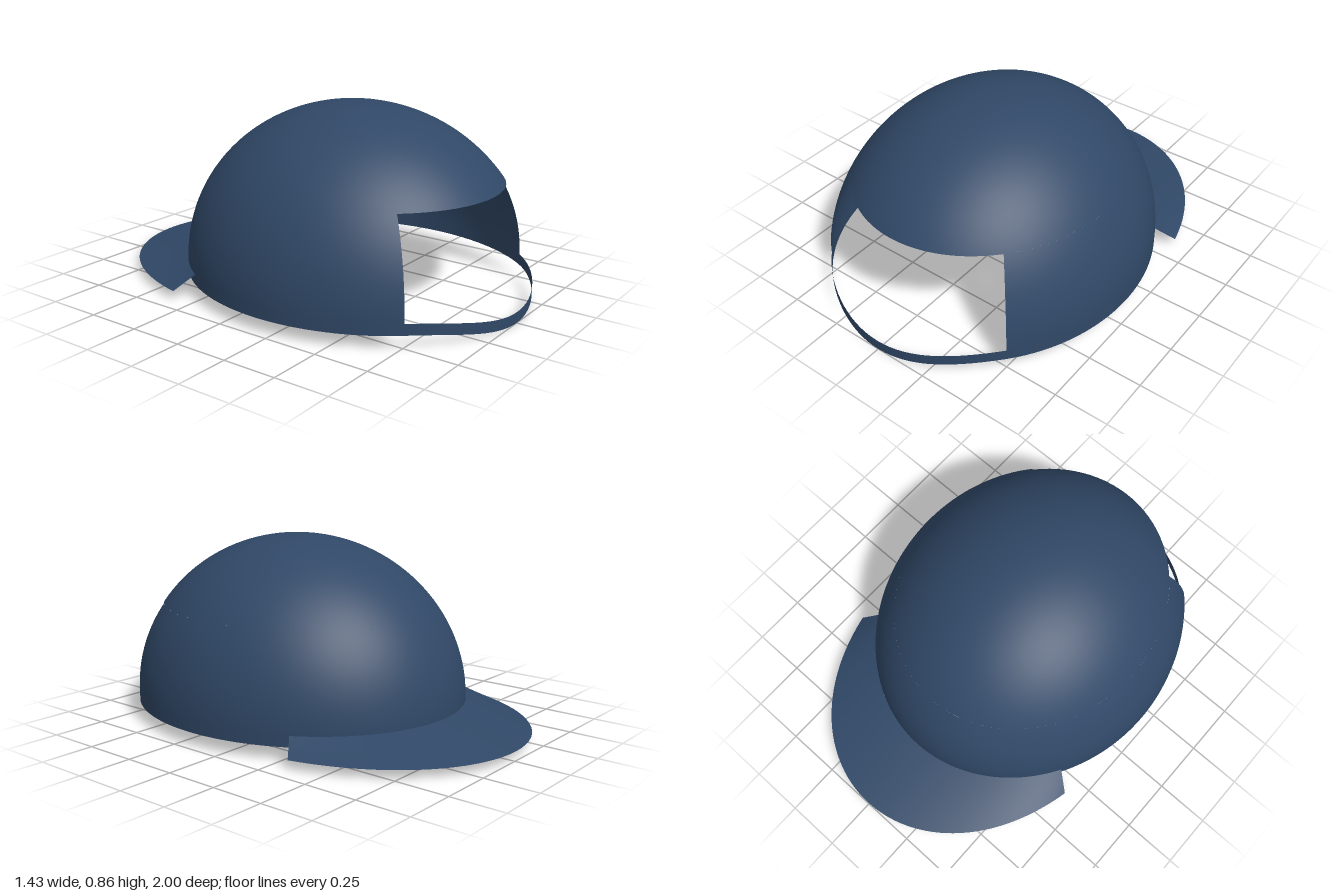
import * as THREE from 'three';

// Crown ellipsoid: half-width, height, half-length, centre z, and height of its rim
const RX = 0.717, RY = 0.745, RZ = 0.822, CZ = 0.178, RIM = 0.11;
const rad = THREE.MathUtils.degToRad;

function moveVertices(geometry, rule) {
  const p = geometry.attributes.position;
  const v = new THREE.Vector3();
  for (let i = 0; i < p.count; i++) {
    rule(v.fromBufferAttribute(p, i));
    p.setXYZ(i, v.x, v.y, v.z);
  }
  return geometry;
}

export function createModel() {
  const group = new THREE.Group();
  const navy = new THREE.MeshStandardMaterial({ color: 0x304867, side: THREE.DoubleSide });
  navy.name = 'navy cloth';

  function add(name, geometry) {
    const mesh = new THREE.Mesh(geometry, navy);
    mesh.name = name;
    group.add(mesh);
  }

  function crownPart(phiStart, phiLength, thetaStart, thetaLength) {
    return new THREE.SphereGeometry(1, 96, 24, rad(phiStart), rad(phiLength), rad(thetaStart), rad(thetaLength))
      .scale(RX, RY, RZ).translate(0, RIM, CZ);
  }

  // Crown: full cap above, three-quarter wall below that leaves the front opening
  add('crownTop', crownPart(0, 360, 0, 56.25));
  add('crownWall', crownPart(135, 270, 56.25, 33.75));

  // Band around the rim; it dips across the opening to form the strap
  const band = new THREE.CylinderGeometry(1, 1, 0.05, 128, 1, true)
    .scale(RX, 1, RZ).translate(0, RIM - 0.025, CZ);
  moveVertices(band, (v) => {
    const a = Math.atan2(v.x / RX, (v.z - CZ) / RZ);
    if (Math.abs(a) < Math.PI / 4) v.y -= 0.06 * Math.cos(2 * a) ** 2;
  });
  add('bandAndStrap', band);

  // Brim: a sheet swept round the back, widest in the middle and sloping down
  const brim = moveVertices(new THREE.PlaneGeometry(1, 1, 64, 4), (v) => {
    const a = v.x * 2 * rad(56);
    const out = v.y + 0.5;
    const s = 1 + out * 0.433 * Math.cos(a) ** 2;
    v.set(RX * s * Math.sin(a), RIM - 0.068 * out, CZ - RZ * s * Math.cos(a));
  });
  brim.computeVertexNormals();
  add('brim', brim);

  return group;
}
